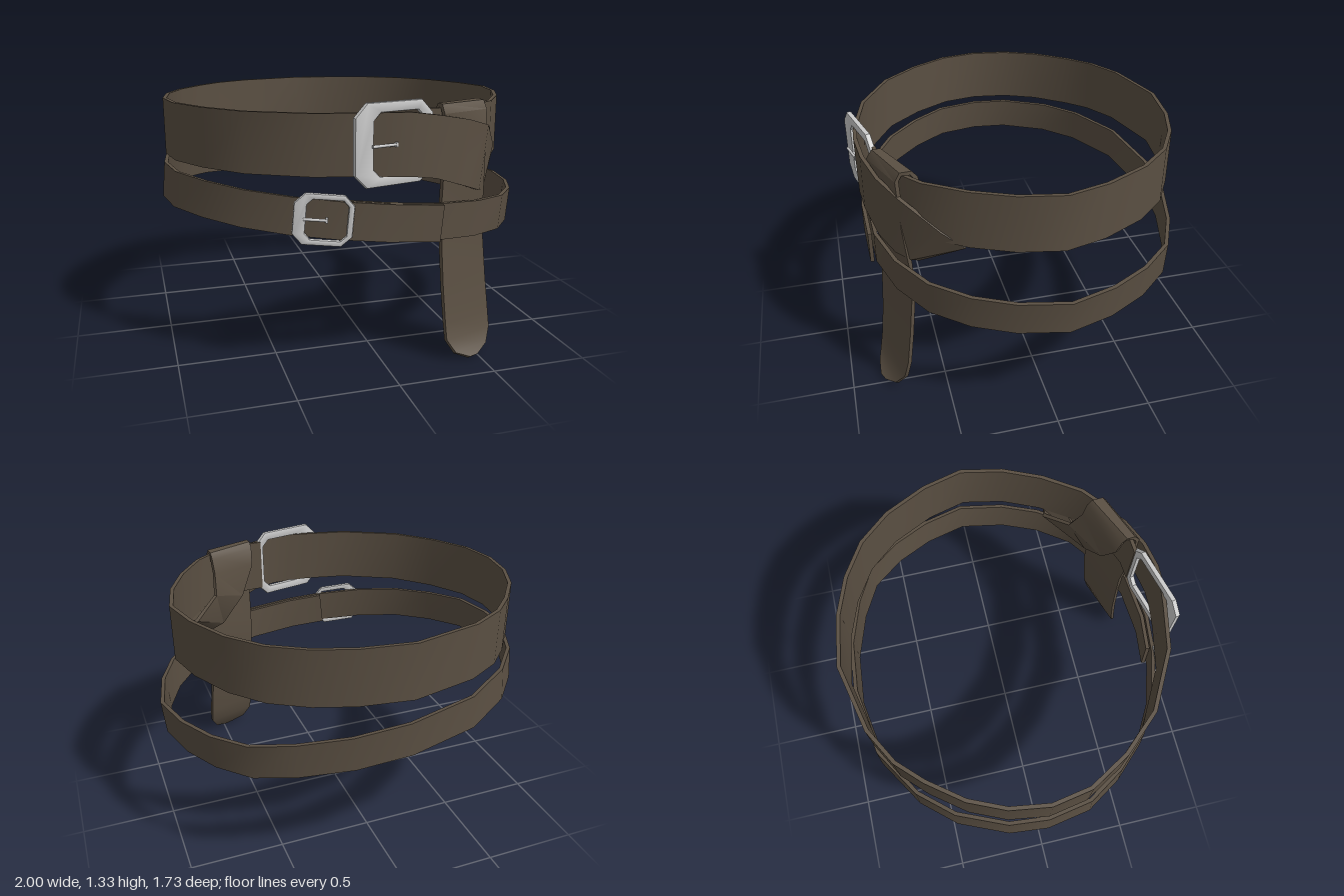
import * as THREE from 'three';
import { toCreasedNormals } from 'three/addons/utils/BufferGeometryUtils.js';

const leather = new THREE.MeshStandardMaterial({ color: 0x5a4f42 });
const metal = new THREE.MeshStandardMaterial({ color: 0xcccccc });

function mesh(name, geometry, material) {
  const m = new THREE.Mesh(geometry, material);
  m.name = name;
  return m;
}

// Solid strap swept through rows of [edge a, edge b]; thickness follows the row normals
function strap(name, rows, thickness) {
  const V = rows.map(r => [new THREE.Vector3(r[0], r[1], r[2]), new THREE.Vector3(r[3], r[4], r[5])]);
  const mid = V.map(([a, b]) => a.clone().add(b).multiplyScalar(0.5));
  const rings = V.map(([a, b], i) => {
    const t = mid[Math.min(i + 1, V.length - 1)].clone().sub(mid[Math.max(i - 1, 0)]);
    const n = t.cross(b.clone().sub(a)).normalize().multiplyScalar(thickness / 2);
    return [a.clone().add(n), b.clone().add(n), b.clone().sub(n), a.clone().sub(n)];
  });
  const pos = [];
  const quad = (p, q, r, s) => [p, q, r, p, r, s].forEach(v => pos.push(v.x, v.y, v.z));
  for (let i = 0; i < rings.length - 1; i++) {
    for (let k = 0; k < 4; k++) {
      const j = (k + 1) % 4;
      quad(rings[i][k], rings[i + 1][k], rings[i + 1][j], rings[i][j]);
    }
  }
  quad(...rings[0]);
  quad(...rings[rings.length - 1].slice().reverse());
  const g = new THREE.BufferGeometry();
  g.setAttribute('position', new THREE.Float32BufferAttribute(pos, 3));
  return mesh(name, toCreasedNormals(g, 0.6), leather);
}

// Rectangle with cut corners
function chamfered(path, x0, x1, y0, y1, c) {
  path.moveTo(x0 + c, y0);
  [[x1 - c, y0], [x1, y0 + c], [x1, y1 - c], [x1 - c, y1], [x0 + c, y1], [x0, y1 - c], [x0, y0 + c]]
    .forEach(p => path.lineTo(...p));
  path.closePath();
  return path;
}

// Buckle frame, heavier on its left bar, with a pin
function buckle(name, w, h, left, rim, cut, pinLength) {
  const group = new THREE.Group();
  group.name = name;
  const b = 0.008;
  const shape = chamfered(new THREE.Shape(), -w / 2 + b, w / 2 - b, -h / 2 + b, h / 2 - b, cut);
  shape.holes.push(chamfered(new THREE.Path(), -w / 2 + left - b, w / 2 - rim + b, -h / 2 + rim - b, h / 2 - rim + b, cut * 0.7));
  const g = new THREE.ExtrudeGeometry(shape, {
    depth: 0.012, bevelEnabled: true, bevelSize: b, bevelThickness: b, bevelSegments: 2
  });
  g.translate(0, 0, -0.006);
  group.add(mesh(name + 'Frame', toCreasedNormals(g, 0.7), metal));
  const pin = mesh(name + 'Pin', new THREE.CylinderGeometry(0.007, 0.008, pinLength, 8), metal);
  pin.rotation.z = -Math.PI / 2;
  pin.position.set(-w / 2 + left * 0.8 + pinLength / 2, 0, 0.012);
  const knob = mesh(name + 'PinTip', new THREE.BoxGeometry(0.012, 0.022, 0.02), metal);
  knob.position.set(-w / 2 + left * 0.8 + pinLength, 0, 0.008);
  group.add(pin, knob);
  return group;
}

export function createModel() {
  const model = new THREE.Group();
  model.name = 'doubleBelt';

  // Upper belt: loop in plan (x, z), from under the buckle round the back to the front
  const upperLoop = [
    [0.2, 0.745], [0.3, 0.74], [0.5, 0.665], [0.62, 0.57], [0.75, 0.38], [0.84, 0.18], [0.885, -0.04],
    [0.83, -0.25], [0.72, -0.47], [0.58, -0.63], [0.4, -0.74], [0.2, -0.81], [-0.07, -0.85],
    [-0.42, -0.77], [-0.6, -0.67], [-0.72, -0.55], [-0.85, -0.38], [-0.93, -0.2], [-0.96, 0],
    [-0.925, 0.2], [-0.81, 0.4], [-0.64, 0.59], [-0.35, 0.75], [-0.12, 0.8]
  ].map(([x, z]) => [x, 0.99, z, x, 1.285, z]);

  // Free end: through the buckle, folded under the belt, up behind it, over the top and hanging
  const freeEnd = [
    [0, 0.985, 0.82, 0, 1.285, 0.82],
    [0.1, 0.98, 0.825, 0.1, 1.283, 0.825],
    [0.23, 0.96, 0.812, 0.25, 1.26, 0.808],
    [0.4, 0.9, 0.765, 0.42, 1.225, 0.755],
    [0.51, 0.855, 0.70, 0.56, 1.18, 0.67],
    [0.56, 0.835, 0.635, 0.68, 1.045, 0.50],
    [0.56, 0.83, 0.60, 0.73, 0.98, 0.40],
    [0.50, 0.86, 0.60, 0.69, 0.99, 0.39],
    [0.36, 1.0, 0.645, 0.55, 1.08, 0.50],
    [0.28, 1.17, 0.68, 0.535, 1.19, 0.565],
    [0.275, 1.27, 0.70, 0.54, 1.27, 0.585],
    [0.275, 1.295, 0.72, 0.54, 1.295, 0.605],
    [0.275, 1.295, 0.755, 0.54, 1.295, 0.655],
    [0.275, 1.26, 0.78, 0.545, 1.26, 0.675],
    [0.28, 1.0, 0.78, 0.555, 1.0, 0.665],
    [0.285, 0.8, 0.757, 0.565, 0.8, 0.645],
    [0.29, 0.6, 0.765, 0.572, 0.6, 0.645],
    [0.30, 0.38, 0.78, 0.585, 0.38, 0.67],
    [0.31, 0.2, 0.80, 0.597, 0.2, 0.695],
    [0.315, 0.11, 0.815, 0.597, 0.11, 0.72],
    [0.36, 0.04, 0.835, 0.56, 0.04, 0.77],
    [0.44, 0.008, 0.84, 0.49, 0.008, 0.82]
  ];
  model.add(strap('upperBelt', [...upperLoop, ...freeEnd], 0.02));

  // Lower belt: slanted loop, its end overlapping outside at the front
  const lean = 0.0085, half = 0.092;
  const lowerLoop = [
    [-0.2, 0.765], [0, 0.795], [0.27, 0.785], [0.5, 0.71], [0.7, 0.58], [0.84, 0.4], [0.93, 0.2],
    [0.98, -0.05], [0.92, -0.28], [0.82, -0.48], [0.68, -0.65], [0.48, -0.75], [0.22, -0.825], [-0.07, -0.845],
    [-0.44, -0.78], [-0.7, -0.62], [-0.85, -0.45], [-0.96, -0.2], [-0.98, 0], [-0.94, 0.23],
    [-0.82, 0.42], [-0.66, 0.59], [-0.45, 0.715], [-0.22, 0.79], [0, 0.822], [0.27, 0.815]
  ].map(([x, z]) => {
    const y = 0.759 - 0.094 * x;
    return [x - lean, y - half, z, x + lean, y + half, z];
  });
  model.add(strap('lowerBelt', lowerLoop, 0.02));

  // Buckles
  const large = buckle('largeBuckle', 0.43, 0.395, 0.1, 0.048, 0.06, 0.13);
  large.position.set(0.02, 1.137, 0.8);
  large.rotation.y = 0.24;
  // lift the pin clear of the strap running through the frame
  large.children.slice(1).forEach(p => { p.position.z += 0.02; });
  const small = buckle('smallBuckle', 0.285, 0.25, 0.06, 0.028, 0.045, 0.11);
  small.position.set(-0.315, 0.79, 0.782);
  small.rotation.set(0, -0.2, -0.09);
  model.add(large, small);
  return model;
}
